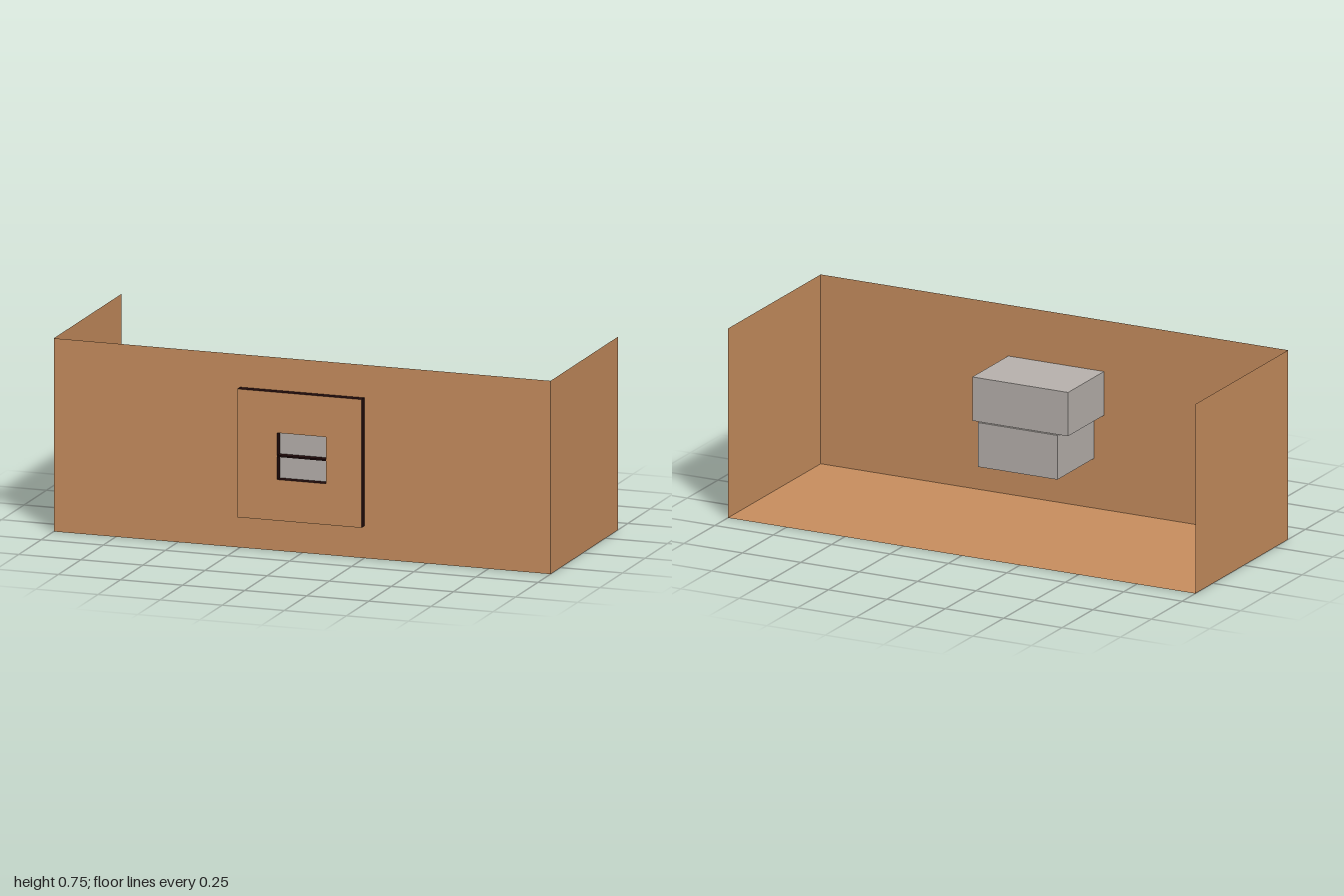
import * as THREE from 'three';

export function createModel() {
  const model = new THREE.Group();
  const mat = (name, color) => {
    const m = new THREE.MeshStandardMaterial({ color, side: THREE.DoubleSide });
    m.name = name;
    return m;
  };
  const wood = mat('wood', 0xc98f5f);
  const grey = mat('grey', 0xb9b3ae);
  const dark = mat('dark edge', 0x200b0b);

  const add = (name, geometry, material, x = 0, y = 0, z = 0) => {
    const mesh = new THREE.Mesh(geometry, material);
    mesh.name = name;
    mesh.position.set(x, y, z);
    model.add(mesh);
    return mesh;
  };

  // Rectangle with the small window cut out of it
  const windowed = (x0, y0, x1, y1) => {
    const rect = (path, a, b, c, d) =>
      path.moveTo(a, b).lineTo(c, b).lineTo(c, d).lineTo(a, d).closePath();
    const shape = rect(new THREE.Shape(), x0, y0, x1, y1);
    shape.holes.push(rect(new THREE.Path(), -0.09, 0.285, 0.108, 0.467));
    return shape;
  };

  const front = 0.36, back = -0.393, height = 0.753;
  const depth = front - back, mid = (front + back) / 2;

  // Thin open shell: front, floor and two sides
  add('frontPanel', new THREE.ShapeGeometry(windowed(-1, 0, 1, height)), wood, 0, 0, front);
  add('floor', new THREE.PlaneGeometry(2, depth), wood, 0, 0, mid).rotation.x = -Math.PI / 2;
  for (const s of [-1, 1]) {
    const side = add(s > 0 ? 'leftSide' : 'rightSide',
      new THREE.PlaneGeometry(depth, height), wood, s, height / 2, mid);
    side.rotation.y = s * Math.PI / 2;
  }

  // Raised square plate with wooden face and dark edges
  add('raisedPlate',
    new THREE.ExtrudeGeometry(windowed(-0.25, 0.125, 0.25, 0.625), { depth: 0.031, bevelEnabled: false }),
    [wood, dark], 0, 0, front);

  // Thin bar across the window
  add('windowBar', new THREE.BoxGeometry(0.198, 0.006, 0.03), dark, 0.009, 0.376, front + 0.015);

  // Two stacked boxes behind the window
  add('upperBox', new THREE.BoxGeometry(0.41, 0.174, 0.292), grey, -0.008, 0.463, 0.213);
  add('lowerBox', new THREE.BoxGeometry(0.34, 0.176, 0.297), grey, 0, 0.286, 0.2105);

  return model;
}
